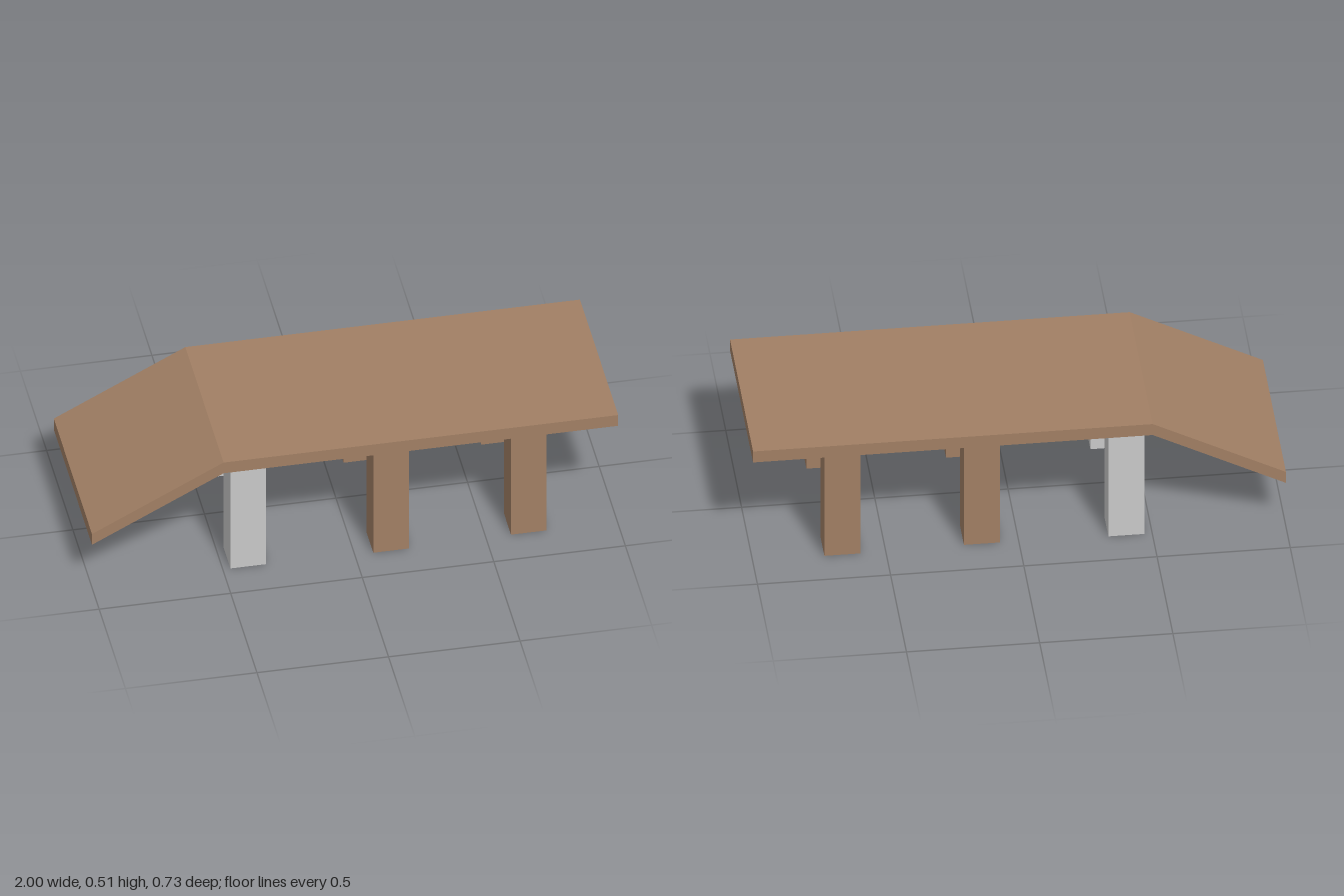
import * as THREE from 'three';

export function createModel() {
  const group = new THREE.Group();
  const brown = new THREE.MeshStandardMaterial({ name: 'brown wood', color: 0xa17f64 });
  const grey = new THREE.MeshStandardMaterial({ name: 'light grey', color: 0xc9c9c9 });

  // Flat deck with a sloping ramp, as one side profile
  const profile = new THREE.Shape([
    [-1, 0.2], [-0.5, 0.46], [1, 0.46], [1, 0.51], [-0.5, 0.51], [-1, 0.25],
  ].map(([x, y]) => new THREE.Vector2(x, y)));
  const width = 0.728;
  const deckGeometry = new THREE.ExtrudeGeometry(profile, { depth: width, bevelEnabled: false });
  deckGeometry.translate(0, 0, -width / 2);
  const deck = new THREE.Mesh(deckGeometry, brown);
  deck.name = 'deckAndRamp';
  group.add(deck);

  // Three pairs of square posts; the middle pair sits slightly forward
  const legGeometry = new THREE.BoxGeometry(0.135, 0.46, 0.13);
  const pairs = [
    ['rampLeg', -0.403, 0, grey],
    ['middleLeg', 0.138, 0.009, brown],
    ['endLeg', 0.663, 0, brown],
  ];
  for (const [name, x, shift, material] of pairs) {
    for (const [side, z] of [['Front', 0.284], ['Back', -0.283]]) {
      const leg = new THREE.Mesh(legGeometry, material);
      leg.name = name + side;
      leg.position.set(x, 0.23, z + shift);
      group.add(leg);
    }
  }
  return group;
}
